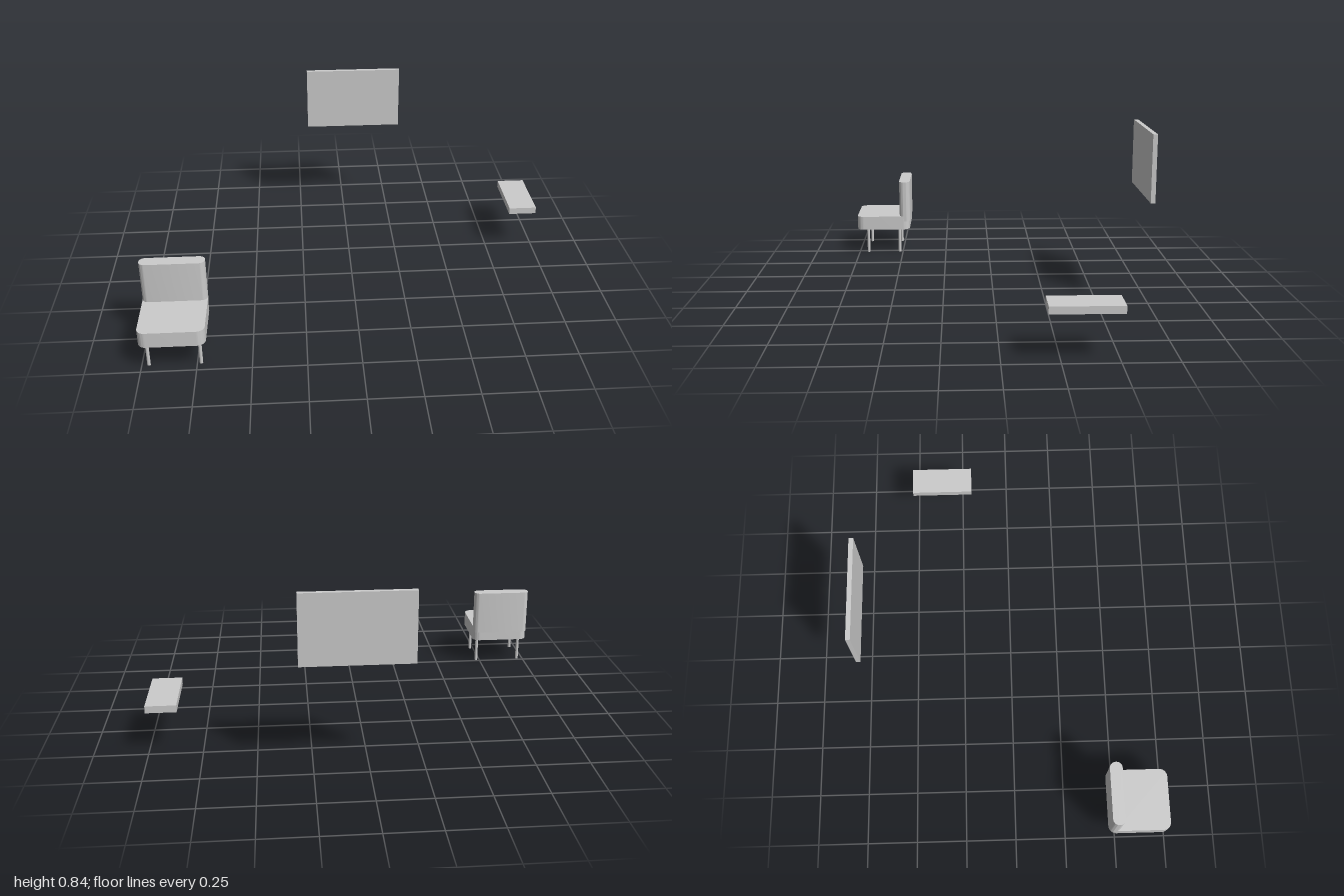
import * as THREE from 'three';
import { toCreasedNormals } from 'three/addons/utils/BufferGeometryUtils.js';

const material = new THREE.MeshStandardMaterial({ color: 0xcccccc });

function add(parent, name, geometry, x, y, z) {
  const mesh = new THREE.Mesh(geometry, material);
  mesh.name = name;
  mesh.position.set(x, y, z);
  parent.add(mesh);
  return mesh;
}

// Upright slab whose plan outline has rounded corners; its base sits at y = 0
function roundedSlab(width, height, depth, radius) {
  const w = width / 2, d = depth / 2, r = radius;
  const shape = new THREE.Shape();
  shape.absarc(w - r, d - r, r, 0, Math.PI / 2);
  shape.absarc(-w + r, d - r, r, Math.PI / 2, Math.PI);
  shape.absarc(-w + r, -d + r, r, Math.PI, Math.PI * 1.5);
  shape.absarc(w - r, -d + r, r, Math.PI * 1.5, Math.PI * 2);
  const geometry = new THREE.ExtrudeGeometry(shape, { depth: height, bevelEnabled: false, curveSegments: 10 });
  geometry.rotateX(-Math.PI / 2);
  return toCreasedNormals(geometry, Math.PI / 6);
}

export function createModel() {
  const model = new THREE.Group();
  model.name = 'roomSet';

  // Chair: cushion, backrest and four round legs
  const chair = new THREE.Group();
  chair.name = 'chair';
  chair.position.set(-0.85, 0, 0.608);
  model.add(chair);
  add(chair, 'seat', roundedSlab(0.3, 0.076, 0.3, 0.038), 0, 0.14, 0);
  add(chair, 'backrest', roundedSlab(0.3, 0.23, 0.061, 0.029), 0, 0.187, -0.1235);
  const legGeometry = new THREE.CylinderGeometry(0.008, 0.008, 0.14, 20);
  for (const x of [-0.118, 0.118]) {
    for (const z of [-0.09, 0.09]) add(chair, 'chairLeg', legGeometry, x, 0.07, z);
  }

  // Wall panel behind and low shelf to the side
  add(model, 'wallPanel', new THREE.BoxGeometry(0.508, 0.328, 0.022), 0.056, 0.679, -0.745);
  add(model, 'shelf', new THREE.BoxGeometry(0.142, 0.034, 0.32), 0.929, 0.231, -0.354);

  return model;
}
